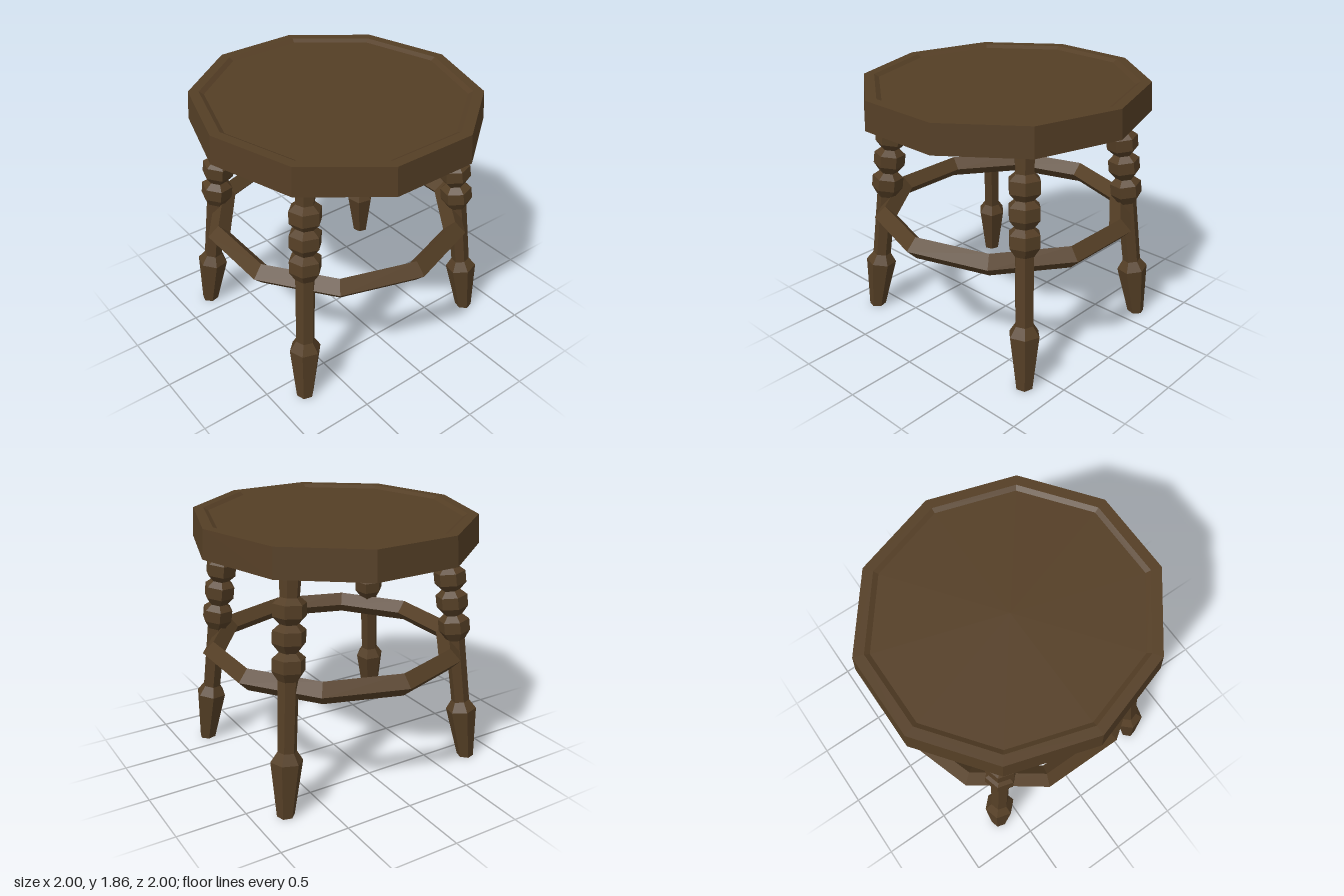
import * as THREE from 'three';

const wood = new THREE.MeshStandardMaterial({ color: 0x543e25, flatShading: true });
wood.name = 'dark wood';

const points = (list) => list.map(([r, y]) => new THREE.Vector2(r, y));

function addMesh(parent, name, geometry) {
  // unshared vertices keep every facet crisp
  const flat = geometry.toNonIndexed();
  flat.computeVertexNormals();
  const mesh = new THREE.Mesh(flat, wood);
  mesh.name = name;
  parent.add(mesh);
}

// Ten-sided seat with a shallow dished top
function seatGeometry() {
  const profile = points([
    [0, 1.655], [1, 1.655], [0.985, 1.857], [0.913, 1.857], [0.88, 1.837], [0, 1.837],
  ]);
  return new THREE.LatheGeometry(profile, 10).scale(1.0515, 1, 1);
}

// Six-sided turned leg, splayed outward, with its foot cut level with the floor
function legGeometry(sx, sz) {
  const outline = [[0, 0], [0.062, 0], [0.112, 0.39], [0.066, 0.46], [0.07, 0.95]];
  // three beads
  for (const y of [1.055, 1.24, 1.415]) {
    outline.push([0.113, y - 0.04], [0.113, y + 0.045], [0.066, y + 0.085]);
  }
  outline.push([0.077, 1.7]);
  const geometry = new THREE.LatheGeometry(points(outline), 6, Math.atan2(sx, sz));

  const axis = new THREE.Vector3(-0.094 * sx, 1, -0.094 * sz).normalize();
  const lean = new THREE.Quaternion().setFromUnitVectors(new THREE.Vector3(0, 1, 0), axis);
  geometry.applyQuaternion(lean).translate(0.652 * sx, 0, 0.777 * sz);

  // level the foot
  const position = geometry.attributes.position;
  for (let i = 0; i < position.count; i++) {
    if (i % outline.length < 2) position.setY(i, 0);
  }
  return geometry;
}

export function createModel() {
  const stool = new THREE.Group();
  stool.name = 'stool';

  addMesh(stool, 'seat', seatGeometry());

  for (const [sz, end] of [[1, 'front'], [-1, 'back']]) {
    for (const [sx, side] of [[1, 'Left'], [-1, 'Right']]) {
      addMesh(stool, `${end}${side}Leg`, legGeometry(sx, sz));
    }
  }

  // Ten-sided foot ring with a diamond cross-section
  const ring = new THREE.TorusGeometry(0.885, 0.08, 4, 10);
  ring.rotateX(-Math.PI / 2).translate(0, 0.87, 0);
  addMesh(stool, 'footRing', ring);

  return stool;
}
